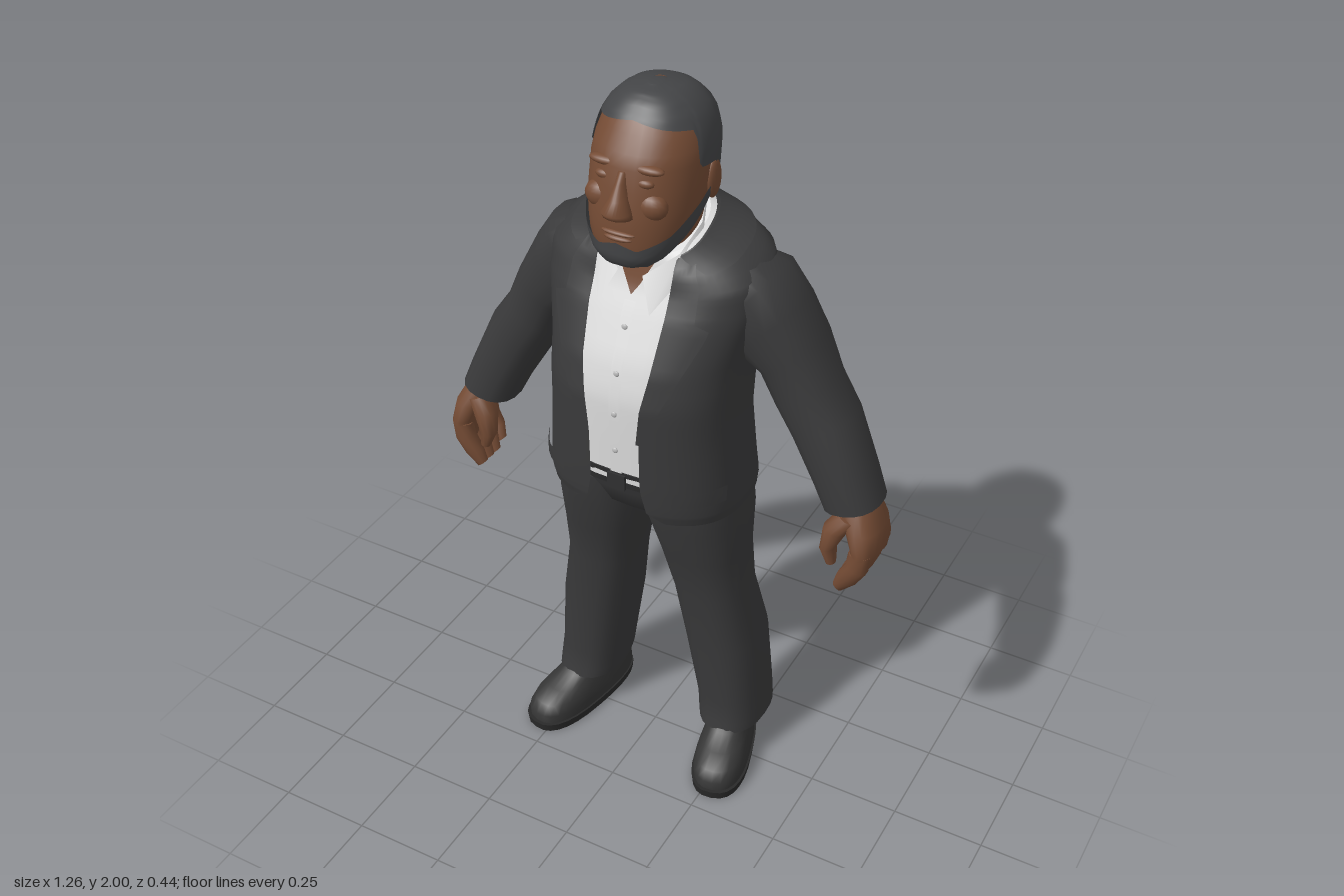
import * as THREE from 'three';

const V = (x, y, z) => new THREE.Vector3(x, y, z);
const TAU = Math.PI * 2;
const paint = (name, color) => new THREE.MeshStandardMaterial({ name, color, side: THREE.DoubleSide });
const mats = {
  jacket: paint('charcoal jacket', 0x3a3a3b), trousers: paint('charcoal trousers', 0x39393a),
  shirt: paint('white shirt', 0xdcdcdc), button: paint('shirt button', 0xbcbcbc),
  skin: paint('brown skin', 0x744b34), hair: paint('dark hair', 0x434446),
  shoe: paint('dark shoe', 0x353535), sole: paint('dark sole', 0x292929), belt: paint('dark belt', 0x303031),
};

// Linear lookup in a table whose first column rises
function look(table, k) {
  let i = 0;
  while (i < table.length - 2 && k > table[i + 1][0]) i++;
  const a = table[i], b = table[i + 1];
  const t = THREE.MathUtils.clamp((k - a[0]) / (b[0] - a[0]), 0, 1);
  return a.map((v, j) => v + (b[j] - v) * t);
}
const range = (a, b, n) => Array.from({ length: n + 1 }, (_, i) => a + (b - a) * i / n);
const pow = (v, n) => Math.sign(v) * Math.abs(v) ** (2 / n);

// Skin a grid of points; rows run upward, columns run counter-clockwise from above
function grid(rows, closed = false, caps = false) {
  const n = rows[0].length, pos = rows.flat().flatMap(p => [p.x, p.y, p.z]), idx = [];
  for (let i = 0; i < rows.length - 1; i++) for (let j = 0; j < (closed ? n : n - 1); j++) {
    const a = i * n + j, b = i * n + (j + 1) % n;
    idx.push(a, b, b + n, a, b + n, a + n);
  }
  if (caps) for (const [row, up] of [[rows[0], false], [rows.at(-1), true]]) {
    const c = row.reduce((s, p) => s.add(p), V(0, 0, 0)).divideScalar(n), at = pos.length / 3;
    for (const p of [c, ...row]) pos.push(p.x, p.y, p.z);
    for (let j = 0; j < n; j++) {
      const p = at + 1 + j, q = at + 1 + (j + 1) % n;
      up ? idx.push(at, p, q) : idx.push(at, q, p);
    }
  }
  const g = new THREE.BufferGeometry();
  g.setAttribute('position', new THREE.Float32BufferAttribute(pos, 3));
  g.setIndex(idx);
  g.computeVertexNormals();
  return g;
}
// Limb from rows [innerX, innerY, outerX, outerY, z, halfDepth]
const limb = (rows, n = 2.3, seg = 18) => grid(rows.map(([ix, iy, ox, oy, z, d]) =>
  range(0, TAU, seg).slice(0, -1).map(a => {
    const s = pow(Math.sin(a), n) / 2;
    return V((ix + ox) / 2 + (ox - ix) * s, (iy + oy) / 2 + (oy - iy) * s, z + d * pow(Math.cos(a), n));
  })), true, true);
// Upright loft from rows [y, halfWidth, front, back]
const loft = (rows, n = 2.3) => limb(rows.map(([y, r, f, b]) => [-r, y, r, y, (f + b) / 2, (f - b) / 2]), n, 28);
const ball = (x, y, z, sx, sy, sz) => new THREE.SphereGeometry(1, 16, 12).scale(sx, sy, sz).translate(x, y, z);

// Upper body: y, half width, front, back, half opening, neckline slope
const BODY = [
  [0.90, 0.262, 0.200, -0.205, 0.13, 0], [0.93, 0.266, 0.208, -0.207, 0.085, 0], [1.00, 0.262, 0.213, -0.195, 0.07, 0],
  [1.15, 0.250, 0.218, -0.185, 0.07, 0], [1.25, 0.250, 0.220, -0.200, 0.08, 0], [1.34, 0.255, 0.200, -0.213, 0.095, 0],
  [1.47, 0.285, 0.145, -0.212, 0.105, 0], [1.56, 0.285, 0.115, -0.195, 0.105, 0.25],
  [1.605, 0.22, 0.105, -0.175, 0.105, 0.3], [1.64, 0.130, 0.100, -0.140, 0.10, 0.4],
];
const N = 2.6;
function bodyPoint(y, a, off = 0) {
  const [, r, f, b, , tilt] = look(BODY, y);
  const z = (f + b) / 2 + ((f - b) / 2 + off) * pow(Math.cos(a), N);
  return V((r + off) * pow(Math.sin(a), N), y - tilt * z, z);
}
const angleAt = (y, x) => Math.sign(x) * Math.asin(Math.min(1, Math.abs(x) / look(BODY, y)[1]) ** (N / 2));
// Thin plate on the chest between two x limits given per height
const plate = (y0, y1, n, left, right, off) => grid(range(y0, y1, n).map(y =>
  range(left(y), right(y), 5).map(x => bodyPoint(y, angleAt(y, x), off))));

// Head: y, half width, front, back
const HEAD = [
  [1.603, 0.03, 0.15, 0.10], [1.612, 0.065, 0.172, 0.07], [1.635, 0.092, 0.182, 0.03], [1.67, 0.115, 0.183, -0.03],
  [1.70, 0.126, 0.184, -0.08], [1.75, 0.137, 0.180, -0.125], [1.80, 0.140, 0.168, -0.148], [1.85, 0.139, 0.158, -0.155],
  [1.88, 0.136, 0.143, -0.155], [1.92, 0.124, 0.118, -0.146], [1.95, 0.106, 0.097, -0.13], [1.975, 0.078, 0.07, -0.1],
  [1.988, 0.05, 0.045, -0.068], [1.994, 0.012, 0.012, -0.028],
];
function headPoint(y, a, off = 0) {
  const [, r, f, b] = look(HEAD, y);
  return V((r + off) * pow(Math.sin(a), 2.2), y, (f + b) / 2 + ((f - b) / 2 + off) * pow(Math.cos(a), 2.2));
}
const HAIRLINE = [[0, 1.948], [0.6, 1.935], [1.22, 1.925], [1.32, 1.84], [1.7, 1.83], [1.95, 1.78], [2.25, 1.745], [3.15, 1.76]];
// Beard: angle, lower edge, upper edge
const BEARD = [[0, 1.603, 1.677], [0.4, 1.603, 1.662], [1, 1.61, 1.695], [1.4, 1.65, 1.745], [1.65, 1.70, 1.775], [1.75, 1.735, 1.765]];

export function createModel() {
  const model = new THREE.Group();
  model.name = 'man in suit';
  const add = (name, geo, mat) => {
    const m = new THREE.Mesh(geo, mats[mat]);
    m.name = name;
    model.add(m);
  };
  // A part on the left side and its mirror image
  const pair = (name, geo, mat) => {
    add('left ' + name, geo, mat);
    const g = geo.clone().scale(-1, 1, 1), ix = g.index.array;
    for (let i = 0; i < ix.length; i += 3) [ix[i], ix[i + 1]] = [ix[i + 1], ix[i]];
    add('right ' + name, g, mat);
  };

  // Head, hair and beard
  add('head', grid(HEAD.map(r => range(0, TAU, 32).slice(0, -1).map(a => headPoint(r[0], a))), true, true), 'skin');
  const around = range(-Math.PI, Math.PI, 96);
  add('hair', grid(range(0, 1, 12).map(u => around.map(a => {
    const low = look(HAIRLINE, Math.abs(a))[1];
    const p = headPoint(low + (1.994 - low) * Math.sin(u * Math.PI / 2), a, 0.007);
    p.y += 0.006 * u;
    return p;
  }))), 'hair');
  add('hair crown', ball(0, 1.994, -0.008, 0.03, 0.006, 0.034), 'hair');
  add('beard', grid(range(0, 1, 7).map(u => range(-1.75, 1.75, 48).map(a => {
    const [, lo, hi] = look(BEARD, Math.abs(a));
    return headPoint(lo + (hi - lo) * u, a, 0.007);
  }))), 'hair');
  add('neck', loft([[1.5, 0.1, 0.07, -0.12], [1.62, 0.1, 0.085, -0.12], [1.70, 0.105, 0.09, -0.12], [1.77, 0.11, 0.08, -0.12]]), 'skin');

  // Facial features
  add('nose', loft([[1.732, 0.012, 0.192, 0.15], [1.742, 0.038, 0.208, 0.15], [1.757, 0.036, 0.22, 0.15],
    [1.785, 0.022, 0.201, 0.14], [1.82, 0.014, 0.18, 0.13], [1.845, 0.012, 0.163, 0.13]], 2), 'skin');
  add('upper lip', ball(0, 1.699, 0.178, 0.045, 0.007, 0.013), 'skin');
  add('lower lip', ball(0, 1.685, 0.177, 0.038, 0.008, 0.014), 'skin');
  pair('eyelid', ball(0.052, 1.822, 0.145, 0.024, 0.012, 0.014), 'skin');
  pair('brow', ball(0.055, 1.853, 0.136, 0.042, 0.012, 0.018), 'skin');
  pair('cheek', ball(0.065, 1.765, 0.138, 0.042, 0.035, 0.03), 'skin');
  pair('ear', ball(0.138, 1.78, -0.025, 0.014, 0.05, 0.03).rotateY(0), 'skin');

  // Shirt with open collar
  add('shirt', grid(range(1.0, 1.64, 20).map(y =>
    range(0, TAU, 36).slice(0, -1).map(a => bodyPoint(y, a, -0.014))), true, true), 'shirt');
  add('open throat', plate(1.52, 1.63, 6, y => -(y - 1.52) * 0.5, y => (y - 1.52) * 0.5, -0.006), 'skin');
  add('shirt placket', plate(1.03, 1.5, 12, () => -0.016, () => 0.016, -0.009), 'shirt');
  for (const y of [1.1, 1.21, 1.32, 1.43])
    add('shirt button', ball(0, y, look(BODY, y)[2] - 0.008, 0.008, 0.008, 0.004), 'button');
  pair('shirt collar', grid([
    [V(0, 1.66, -0.14), V(0.09, 1.65, -0.11), V(0.13, 1.615, -0.02), V(0.122, 1.57, 0.08), V(0.07, 1.485, 0.16)].reverse(),
    [V(0, 1.70, -0.13), V(0.08, 1.69, -0.105), V(0.114, 1.66, -0.02), V(0.102, 1.615, 0.07), V(0.033, 1.565, 0.125)].reverse(),
  ]), 'shirt');

  // Jacket shell, lapels, collar and pocket flaps
  add('jacket body', grid([0.9, 0.91, 0.92, ...range(0.93, 1.47, 18), ...range(1.49, 1.64, 8)].map(y => {
    const a = angleAt(y, look(BODY, y)[4]);
    return range(a, TAU - a, 44).map(t => bodyPoint(y, t));
  })), 'jacket');
  const LAPEL = [[1.15, 0.076], [1.44, 0.198], [1.465, 0.203], [1.475, 0.17], [1.58, 0.165], [1.64, 0.129]];
  pair('lapel', plate(1.15, 1.64, 30, y => look(BODY, y)[4] - 0.005, y => look(LAPEL, y)[1], 0.009), 'jacket');
  add('jacket collar', grid(range(1.605, 1.645, 3).map(y => range(0.8, TAU - 0.8, 28).map(a => bodyPoint(y, a, 0.008)))), 'jacket');
  pair('pocket flap', plate(0.97, 1.015, 2, () => 0.15, () => 0.25, 0.009), 'jacket');
  pair('sleeve', limb([
    [0.46, 0.95, 0.61, 0.985, -0.06, 0.085], [0.425, 1.02, 0.58, 1.06, -0.065, 0.09], [0.36, 1.13, 0.515, 1.21, -0.075, 0.097],
    [0.31, 1.21, 0.46, 1.29, -0.08, 0.102], [0.27, 1.29, 0.415, 1.395, -0.08, 0.11], [0.2, 1.34, 0.365, 1.49, -0.075, 0.12],
    [0.17, 1.40, 0.31, 1.572, -0.065, 0.12], [0.14, 1.48, 0.24, 1.592, -0.05, 0.1],
  ]), 'jacket');

  // Hands with curled fingers
  pair('palm', limb([
    [0.56, 0.82, 0.612, 0.81, -0.04, 0.08], [0.555, 0.88, 0.632, 0.87, -0.04, 0.088],
    [0.53, 0.93, 0.625, 0.925, -0.043, 0.08], [0.5, 0.985, 0.595, 0.985, -0.055, 0.062],
  ]), 'skin');
  for (let k = 0; k < 4; k++) {
    const z = 0.02 - k * 0.04, up = k === 3 ? 0.02 : 0;
    pair('finger', limb([
      [0.525, 0.752 + up, 0.55, 0.732 + up, z * 0.8, 0.015], [0.535, 0.79 + up, 0.588, 0.77 + up, z * 0.9, 0.023],
      [0.557, 0.83, 0.615, 0.815, z, 0.026], [0.562, 0.87, 0.622, 0.87, z, 0.026],
    ], 2.2, 10), 'skin');
  }
  pair('thumb', limb([
    [0.505, 0.815, 0.53, 0.82, 0.025, 0.014], [0.485, 0.86, 0.527, 0.868, 0.022, 0.027],
    [0.488, 0.925, 0.55, 0.915, 0.012, 0.036], [0.52, 0.97, 0.575, 0.945, -0.005, 0.034],
  ], 2.2, 12), 'skin');

  // Trousers and belt
  add('trouser seat', loft([[0.82, 0.06, 0.06, -0.09], [0.87, 0.22, 0.13, -0.15], [0.93, 0.24, 0.155, -0.17], [1.02, 0.235, 0.185, -0.17]]), 'trousers');
  add('belt', loft([[0.975, 0.238, 0.19, -0.172], [1.03, 0.238, 0.204, -0.172]], N), 'belt');
  add('belt buckle', new THREE.BoxGeometry(0.05, 0.045, 0.009).translate(0, 1.002, 0.203), 'belt');
  pair('trouser leg', limb([
    [0.115, 0.14, 0.318, 0.065, -0.19], [0.14, 0.134, 0.317, 0.06, -0.19], [0.2, 0.125, 0.313, 0.05, -0.186],
    [0.4, 0.09, 0.298, 0.063, -0.178], [0.58, 0.06, 0.266, 0.075, -0.142], [0.72, 0.03, 0.263, 0.105, -0.132],
    [0.84, 0, 0.262, 0.14, -0.16], [0.94, -0.005, 0.25, 0.15, -0.165],
  ].map(([y, i, o, f, b]) => [i, y, o, y, (f + b) / 2, (f - b) / 2]), 2.4, 24), 'trousers');

  // Shoes, wider at the toe and turned outward
  const foot = rows => {
    const g = loft(rows, 2.5), p = g.attributes.position;
    for (let i = 0; i < p.count; i++) p.setX(i, p.getX(i) * (1 + p.getZ(i) * 0.9));
    g.computeVertexNormals();
    return g.rotateY(0.24).translate(0.235, 0, 0);
  };
  pair('shoe', foot([[0.02, 0.07, 0.2, -0.18], [0.05, 0.071, 0.2, -0.182], [0.075, 0.066, 0.18, -0.18],
    [0.095, 0.06, 0.13, -0.175], [0.115, 0.056, 0.07, -0.17], [0.15, 0.055, 0.04, -0.165]]), 'shoe');
  pair('shoe sole', foot([[0, 0.073, 0.207, -0.183], [0.024, 0.075, 0.21, -0.186]]), 'sole');
  return model;
}
